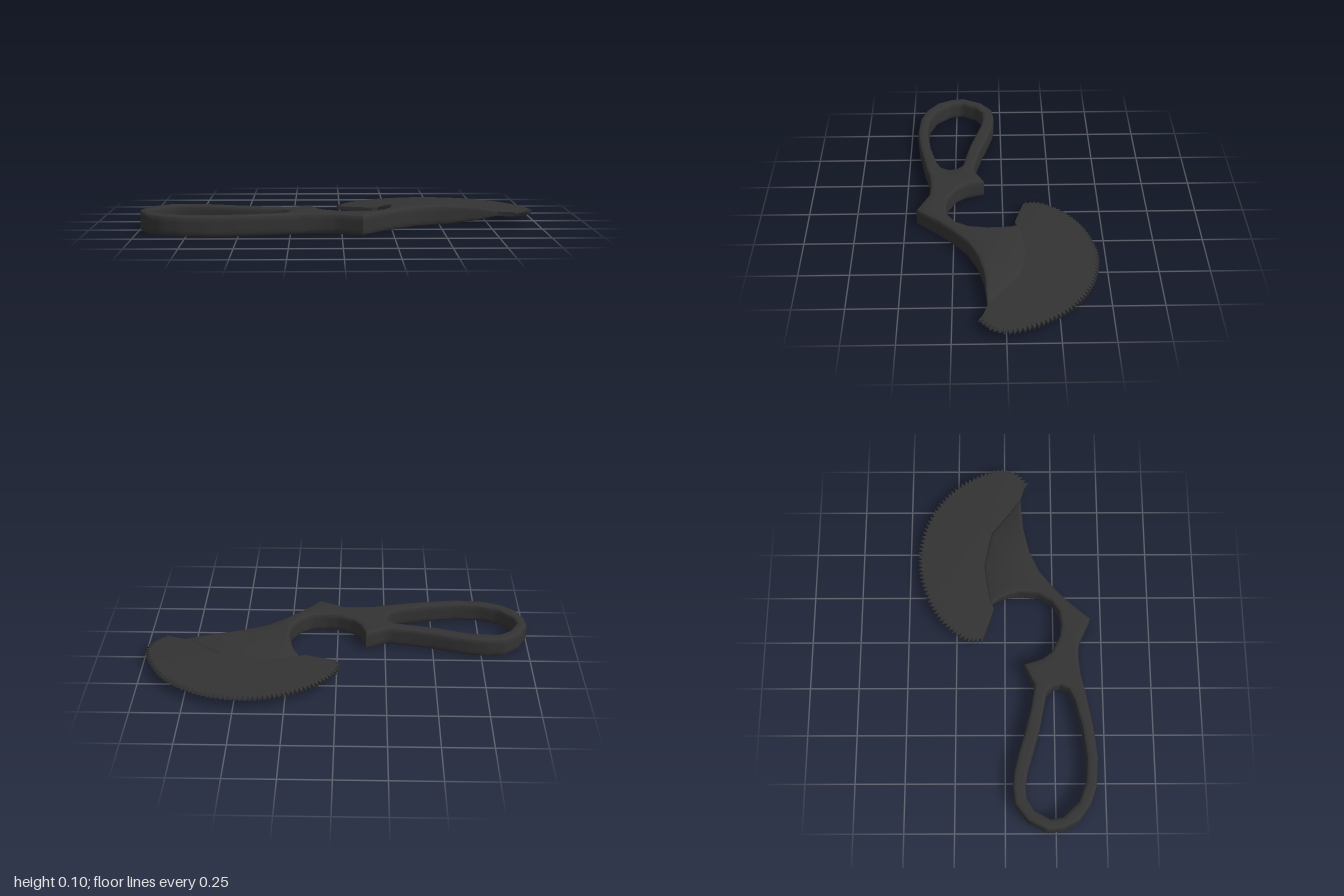
import * as THREE from 'three';
import { toCreasedNormals } from 'three/addons/utils/BufferGeometryUtils.js';

const MID = 0.055; // height of the middle plane
const material = new THREE.MeshStandardMaterial({ color: 0x333333 });

// plan points are [x, z]; shapes are drawn in (x, -z) and laid flat afterwards
const plan = (pts) => pts.map(([x, z]) => new THREE.Vector2(x, -z));

// edge where the frame thins out onto the blade
const seam = [[0.8, 0.085], [0.7, 0.01], [0.6, -0.07], [0.52, -0.09], [0.41, -0.11], [0.3, -0.097], [0.19, -0.075]];

const frameOutline = [
  ...seam,
  // round bite
  [0.22, -0.03], [0.24, 0.02], [0.25, 0.08], [0.24, 0.17], [0.2, 0.24], [0.14, 0.28], [0.06, 0.29],
  [0, 0.28], [-0.08, 0.24], [-0.12, 0.19],
  // thumb spur and handle loop
  [-0.15, 0.095], [-0.26, 0.15], [-0.38, 0.13], [-0.5, 0.1], [-0.6, 0.07], [-0.7, 0.045], [-0.78, 0.037],
  [-0.87, 0.047], [-0.95, 0.11], [-1, 0.21], [-0.99, 0.28], [-0.95, 0.36], [-0.87, 0.42], [-0.78, 0.45],
  [-0.64, 0.46], [-0.5, 0.445], [-0.3, 0.408], [-0.19, 0.382], [-0.1, 0.375], [-0.03, 0.38],
  // lower spur and sweep to the blade
  [0.1, 0.44], [0.2, 0.325], [0.28, 0.25], [0.37, 0.18], [0.48, 0.13], [0.62, 0.098],
];

const handleHole = [
  [-0.945, 0.22], [-0.9, 0.14], [-0.84, 0.105], [-0.78, 0.1], [-0.7, 0.112], [-0.5, 0.17], [-0.3, 0.21],
  [-0.27, 0.24], [-0.26, 0.28], [-0.28, 0.32], [-0.34, 0.35], [-0.48, 0.385], [-0.64, 0.405],
  [-0.76, 0.398], [-0.86, 0.36], [-0.935, 0.28],
];

// split every triangle into four
function subdivide(geometry) {
  const p = geometry.attributes.position;
  const out = [];
  const v = (i) => new THREE.Vector3().fromBufferAttribute(p, i);
  for (let i = 0; i < p.count; i += 3) {
    const [a, b, c] = [v(i), v(i + 1), v(i + 2)];
    const ab = a.clone().lerp(b, 0.5), bc = b.clone().lerp(c, 0.5), ca = c.clone().lerp(a, 0.5);
    for (const q of [a, ab, ca, ab, b, bc, ca, bc, c, ab, bc, ca]) out.push(q.x, q.y, q.z);
  }
  const g = new THREE.BufferGeometry();
  g.setAttribute('position', new THREE.Float32BufferAttribute(out, 3));
  return g;
}

function distanceToSeam(x, z) {
  const point = new THREE.Vector3(x, 0, z), near = new THREE.Vector3();
  let best = Infinity;
  for (let i = 1; i < seam.length; i++) {
    const a = new THREE.Vector3(seam[i - 1][0], 0, seam[i - 1][1]);
    const b = new THREE.Vector3(seam[i][0], 0, seam[i][1]);
    new THREE.Line3(a, b).closestPointToPoint(point, true, near);
    best = Math.min(best, near.distanceTo(point));
  }
  return best;
}

// frame with handle loop, tapering in thickness toward the blade
function makeFrame() {
  const shape = new THREE.Shape(plan(frameOutline));
  shape.holes.push(new THREE.Path(plan(handleHole)));
  const bevel = 0.015;
  let g = new THREE.ExtrudeGeometry(shape, {
    depth: 0.07, bevelEnabled: true, bevelThickness: bevel, bevelSize: bevel, bevelOffset: -bevel, bevelSegments: 3,
  });
  g.translate(0, 0, -0.035).rotateX(-Math.PI / 2);
  g = subdivide(subdivide(g));
  const p = g.attributes.position;
  for (let i = 0; i < p.count; i++) {
    const t = Math.min(1, distanceToSeam(p.getX(i), p.getZ(i)) / 0.2);
    const half = 0.0125 + 0.038 * (1 - (1 - t) ** 2);
    p.setY(i, MID + p.getY(i) * (half / 0.05));
  }
  const mesh = new THREE.Mesh(toCreasedNormals(g, 0.7), material);
  mesh.name = 'handleFrame';
  return mesh;
}

// thin blade with a saw-toothed rim
function makeBlade() {
  const rim = new THREE.SplineCurve(plan([
    [-0.01, -0.1], [-0.02, -0.16], [0, -0.22], [0.05, -0.29], [0.13, -0.36], [0.26, -0.425], [0.43, -0.46],
    [0.6, -0.44], [0.75, -0.375], [0.87, -0.275], [0.95, -0.15], [0.99, -0.03], [0.97, 0.06], [0.9, 0.13],
  ]));
  const teeth = 66, tips = [], outline = [];
  for (let i = 0; i < teeth; i++) {
    const u = i / teeth, t = rim.getTangentAt(u);
    const valley = rim.getPointAt(u).add(new THREE.Vector2(t.y, -t.x).multiplyScalar(0.026));
    const tip = rim.getPointAt((i + 0.85) / teeth);
    tips.push(tip);
    outline.push(valley, tip);
  }
  // inner edge, partly buried in the frame
  outline.push(...plan([[0.875, 0.108], [0.8, 0.083], [0.7, 0.055], [0.55, 0], [0.4, -0.05], [0.24, -0.06],
    [0.2, -0.07], [0.165, -0.058]]));
  const g = new THREE.ExtrudeGeometry(new THREE.Shape(outline), { depth: 0.022, bevelEnabled: false });
  g.translate(0, 0, -0.011);
  // thin the tooth tips
  const p = g.attributes.position;
  for (let i = 0; i < p.count; i++) {
    const isTip = tips.some((t) => Math.hypot(t.x - p.getX(i), t.y - p.getY(i)) < 1e-4);
    if (isTip) p.setZ(i, p.getZ(i) * 0.5);
  }
  g.rotateX(-Math.PI / 2).translate(0, MID, 0);
  const mesh = new THREE.Mesh(toCreasedNormals(g, 0.4), material);
  mesh.name = 'toothedBlade';
  return mesh;
}

export function createModel() {
  const model = new THREE.Group();
  model.name = 'bladeTool';
  model.add(makeFrame(), makeBlade());
  return model;
}
